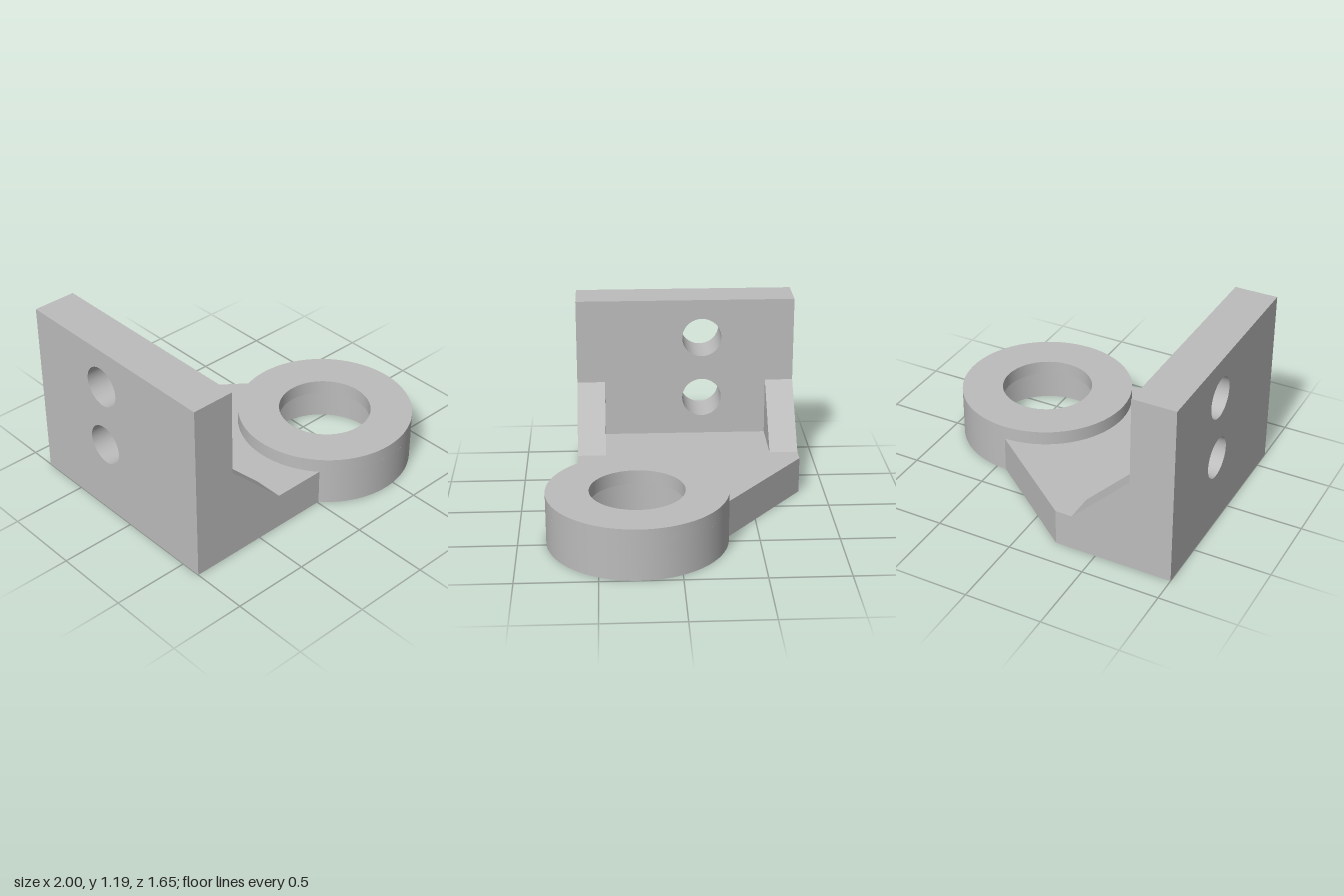
import * as THREE from 'three';
import { toCreasedNormals } from 'three/addons/utils/BufferGeometryUtils.js';

const BASE_H = 0.24, RING_TOP = 0.332, WALL_TOP = 1.19;
const BACK = -0.83, FRONT = 0.635;          // z limits of the bracket
const RING = { x: 0.433, z: 0.258, r: 0.567 };

function circleHole(x, y, r) {
  return new THREE.Path().absarc(x, y, r, 0, Math.PI * 2, true);
}

function extrude(shape, depth) {
  const geometry = new THREE.ExtrudeGeometry(shape, { depth, bevelEnabled: false, curveSegments: 72 });
  return toCreasedNormals(geometry, 0.5);
}

export function createModel() {
  const model = new THREE.Group();
  model.name = 'mountingBracket';
  const grey = new THREE.MeshStandardMaterial({ color: 0xbcbcbc });
  grey.name = 'grey';

  function add(name, geometry) {
    const mesh = new THREE.Mesh(geometry, grey);
    mesh.name = name;
    model.add(mesh);
    return mesh;
  }

  // Base plate: outline drawn in (x, -z), following the ring round its end
  const dz = FRONT - RING.z;
  const dx = Math.sqrt(RING.r ** 2 - dz ** 2);
  const plate = new THREE.Shape();
  plate.moveTo(-1, -FRONT);
  plate.lineTo(RING.x - dx, -FRONT);
  plate.absarc(RING.x, -RING.z, RING.r, Math.atan2(-dz, -dx), Math.PI / 2, false);
  plate.lineTo(-0.23, -BACK);
  plate.lineTo(-1, -BACK);
  plate.closePath();
  plate.holes.push(circleHole(RING.x, -RING.z, 0.38)); // wide counterbore from below
  add('basePlate', extrude(plate, BASE_H).rotateX(-Math.PI / 2));

  // Raised ring with the narrower bore
  const ring = new THREE.Shape().absarc(RING.x, -RING.z, RING.r, 0, Math.PI * 2, false);
  ring.holes.push(circleHole(RING.x, -RING.z, 0.298));
  add('ringTop', extrude(ring, RING_TOP - BASE_H).rotateX(-Math.PI / 2).translate(0, BASE_H, 0));

  // Upright wall: profile drawn in (-z, y), with two bolt holes
  const wall = new THREE.Shape([
    new THREE.Vector2(-FRONT, BASE_H), new THREE.Vector2(-BACK, BASE_H),
    new THREE.Vector2(-BACK, WALL_TOP), new THREE.Vector2(-FRONT, WALL_TOP),
  ]);
  for (const y of [0.5, 0.927]) wall.holes.push(circleHole(0.21, y, 0.132));
  add('uprightWall', extrude(wall, 0.28).rotateY(Math.PI / 2).translate(-1, 0, 0));

  // Triangular gussets at both ends of the wall
  const gusset = new THREE.Shape([
    new THREE.Vector2(-0.72, BASE_H), new THREE.Vector2(-0.34, BASE_H), new THREE.Vector2(-0.72, 0.62),
  ]);
  const width = 0.187;
  add('frontGusset', extrude(gusset, width).translate(0, 0, FRONT - width));
  add('backGusset', extrude(gusset, width).translate(0, 0, BACK));

  return model;
}
